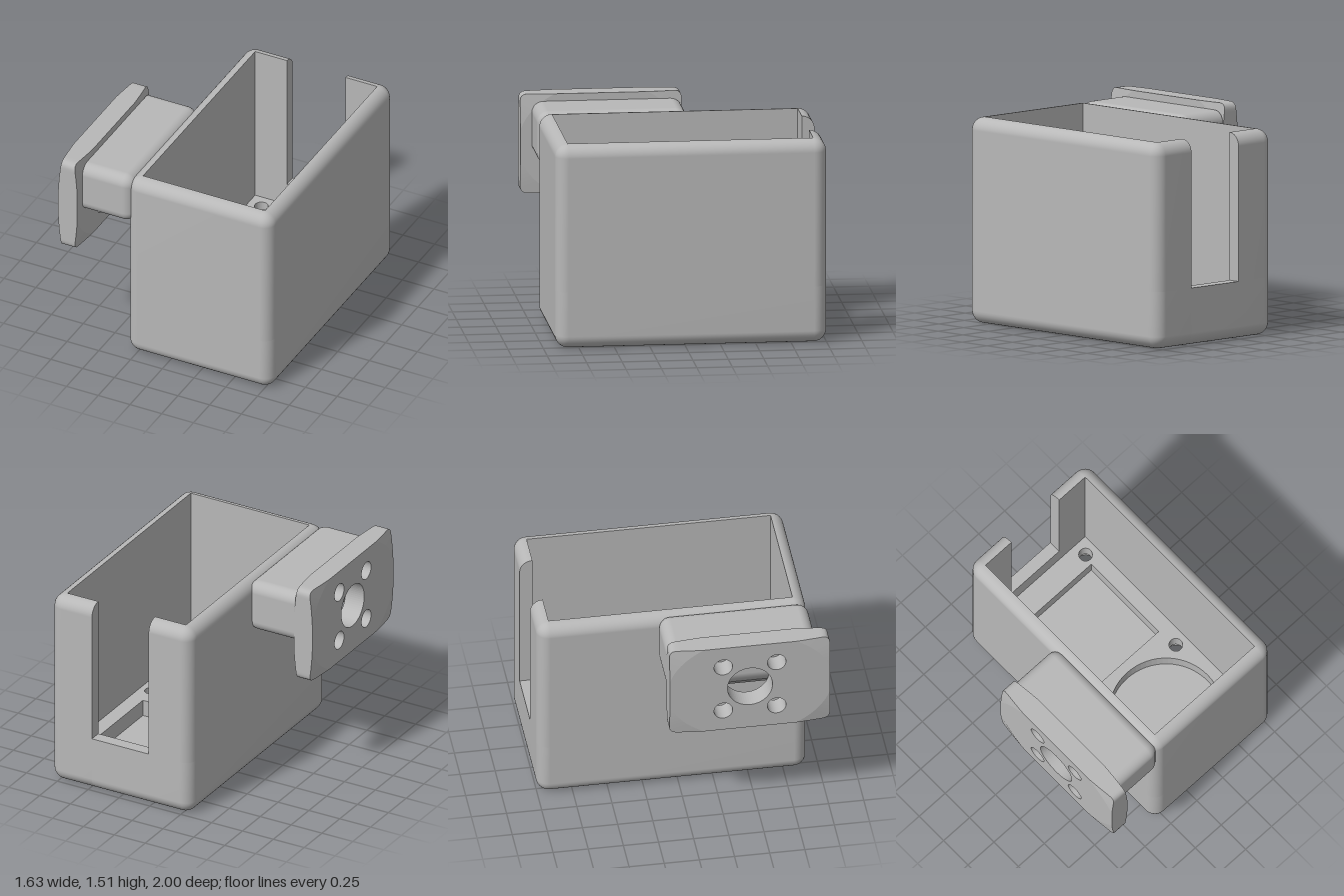
import * as THREE from 'three';
import { RoundedBoxGeometry } from 'three/addons/geometries/RoundedBoxGeometry.js';

const X0 = -0.33, X1 = 0.81, Z0 = -1, Z1 = 0.915, H = 1.46; // housing extents
const W = 0.09;                                           // wall and edge radius
const FLOOR = 0.24, RECESS = 0.12;                        // floor and recess heights
const SLOT = { x0: 0.01, x1: 0.47, y: 0.41 };             // cable slot in the back wall

// Housing outline at inset d, starting and ending at the slot
function outline(d, closed) {
  const pts = [[SLOT.x1, Z0 + d]], n = 8, r = W - d;
  [[X1 - W, Z0 + W], [X1 - W, Z1 - W], [X0 + W, Z1 - W], [X0 + W, Z0 + W]].forEach(([cx, cz], k) => {
    for (let i = 0; i <= n; i++) {
      const a = (k - 1 + i / n) * Math.PI / 2;
      pts.push([cx + r * Math.cos(a), cz + r * Math.sin(a)]);
    }
  });
  pts.push([SLOT.x0, Z0 + d]);
  if (closed) pts.push(pts[0]);
  return pts;
}

// Surface through rows of equally many 3D points
function loft(rows) {
  const m = rows[0].length, index = [];
  for (let j = 0; j < rows.length - 1; j++) {
    for (let i = 0; i < m - 1; i++) {
      const a = j * m + i, up = a + m;
      index.push(a, up, a + 1, up, up + 1, a + 1);
    }
  }
  const g = new THREE.BufferGeometry();
  g.setAttribute('position', new THREE.Float32BufferAttribute(rows.flat(2), 3));
  g.setIndex(index);
  g.computeVertexNormals();
  return g;
}

// Walls from a profile of [inset, height] pairs
const walls = (profile, closed) =>
  loft(profile.map(([d, y]) => outline(d, closed).map(([x, z]) => [x, y, z])));

// Quarter-round profile points
const arc = (cy, from, to, n = 8) => Array.from({ length: n + 1 }, (_, i) => {
  const a = from + (to - from) * i / n;
  return [W - W * Math.cos(a), cy + W * Math.sin(a)];
});

const circle = (x, y, r) => new THREE.Path().absarc(x, y, r, 0, Math.PI * 2, true);
const rect = (C, x0, y0, x1, y1) =>
  new C([[x0, y0], [x1, y0], [x1, y1], [x0, y1]].map(p => new THREE.Vector2(...p)));

// Horizontal slab of the floor between two heights, with holes
function slab(y0, y1, holes) {
  const s = rect(THREE.Shape, X0 + W, Z0 + W, X1 - W, Z1 - W);
  s.holes.push(...holes);
  return new THREE.ExtrudeGeometry(s, { depth: y1 - y0, bevelEnabled: false, curveSegments: 32 })
    .rotateX(Math.PI / 2).translate(0, y1, 0);
}

// Distance from the plate centre to its rounded rectangular edge at an angle
function plateEdge(a, hz, hy, r) {
  const c = Math.abs(Math.cos(a)), s = Math.abs(Math.sin(a));
  const t = Math.min(hz / Math.max(c, 1e-6), hy / Math.max(s, 1e-6));
  if (t * c <= hz - r || t * s <= hy - r) return t;
  const cz = hz - r, cy = hy - r, b = c * cz + s * cy;
  return b + Math.sqrt(Math.max(0, b * b - cz * cz - cy * cy + r * r));
}

export function createModel() {
  const model = new THREE.Group();
  const grey = new THREE.MeshStandardMaterial({ color: 0xb8b8b8, side: THREE.DoubleSide });
  grey.name = 'light grey';
  const add = (name, geometry, parent = model) => {
    const mesh = new THREE.Mesh(geometry, grey);
    mesh.name = name;
    parent.add(mesh);
    return mesh;
  };

  // Open-topped housing
  const housing = new THREE.Group();
  housing.name = 'housing';
  model.add(housing);
  const rim = [[0, SLOT.y], ...arc(H - W, 0, Math.PI / 2)];
  add('lowerOuterWall', walls([...arc(W, -Math.PI / 2, 0), [0, SLOT.y]], true), housing);
  add('upperOuterWall', walls(rim, false), housing);
  add('upperInnerWall', walls([[W, H], [W, SLOT.y]], false), housing);
  add('lowerInnerWall', walls([[W, SLOT.y], [W, FLOOR]], true), housing);

  // Faces of the slot
  const section = new THREE.Shape([...rim, [W, SLOT.y]].map(p => new THREE.Vector2(...p)));
  for (const x of [SLOT.x0, SLOT.x1]) {
    const g = new THREE.ShapeGeometry(section).rotateY(-Math.PI / 2).translate(x, 0, Z0);
    if (x === SLOT.x0) {
      g.index.array.reverse();
      g.computeVertexNormals();
    }
    add('slotSide', g, housing);
  }
  add('slotSill', new THREE.PlaneGeometry(SLOT.x1 - SLOT.x0, W).rotateX(-Math.PI / 2)
    .translate((SLOT.x0 + SLOT.x1) / 2, SLOT.y, Z0 + W / 2), housing);

  // Floor with counterbored screw holes, a square and a round recess
  const screws = r => [-0.14, 0.63].flatMap(x => [-0.81, 0.115].map(z => circle(x, z, r)));
  add('base', slab(0, RECESS, screws(0.083)), housing);
  add('floor', slab(RECESS, FLOOR, [...screws(0.048),
    rect(THREE.Path, -0.13, -0.73, 0.61, -0.04), circle(0.24, 0.43, 0.398)]), housing);

  // Arm, rounded at the housing end and flat against the plate
  const arm = new RoundedBoxGeometry(0.49, 0.38, 1.06, 5, 0.08).translate(-0.525, 1.27, 0.39);
  const p = arm.attributes.position;
  for (let i = 0; i < p.count; i++) p.setX(i, Math.max(p.getX(i), -0.67));
  add('arm', arm);

  // Mounting plate: flat middle with holes, thinner towards the corners
  const plate = new THREE.Group();
  plate.name = 'mountingPlate';
  plate.position.set(-0.745, 1.155, 0.43);
  model.add(plate);
  const hz = 0.57, hy = 0.357, half = 0.075, A = 2.91, B = 5.42, N = 240;
  const inner = [], rows = [[], [], [], []];
  for (let i = 0; i <= N; i++) {
    const a = i / N * Math.PI * 2, c = Math.cos(a), s = Math.sin(a);
    const q = A * c * c + B * s * s, ro = plateEdge(a, hz, hy, 0.045);
    const ri = Math.min(ro, 1 / Math.sqrt(q));
    const t = half - 0.04 * Math.max(0, ro * ro * q - 1);
    if (i < N) inner.push(new THREE.Vector2(-ri * c, ri * s));
    [[half, ri], [t, ro], [-t, ro], [-half, ri]].forEach(([x, r], k) => rows[k].push([x, r * s, r * c]));
  }
  const face = new THREE.Shape(inner);
  face.holes.push(circle(0, 0, 0.16));
  for (const z of [-0.19, 0.19]) for (const y of [-0.19, 0.19]) face.holes.push(circle(z, y, 0.066));
  add('plateMiddle', new THREE.ExtrudeGeometry(face, { depth: 2 * half, bevelEnabled: false, curveSegments: 32 })
    .translate(0, 0, -half).rotateY(Math.PI / 2), plate);
  for (let k = 0; k < 3; k++) add('plateEdge', loft([rows[k + 1], rows[k]]), plate);
  return model;
}
